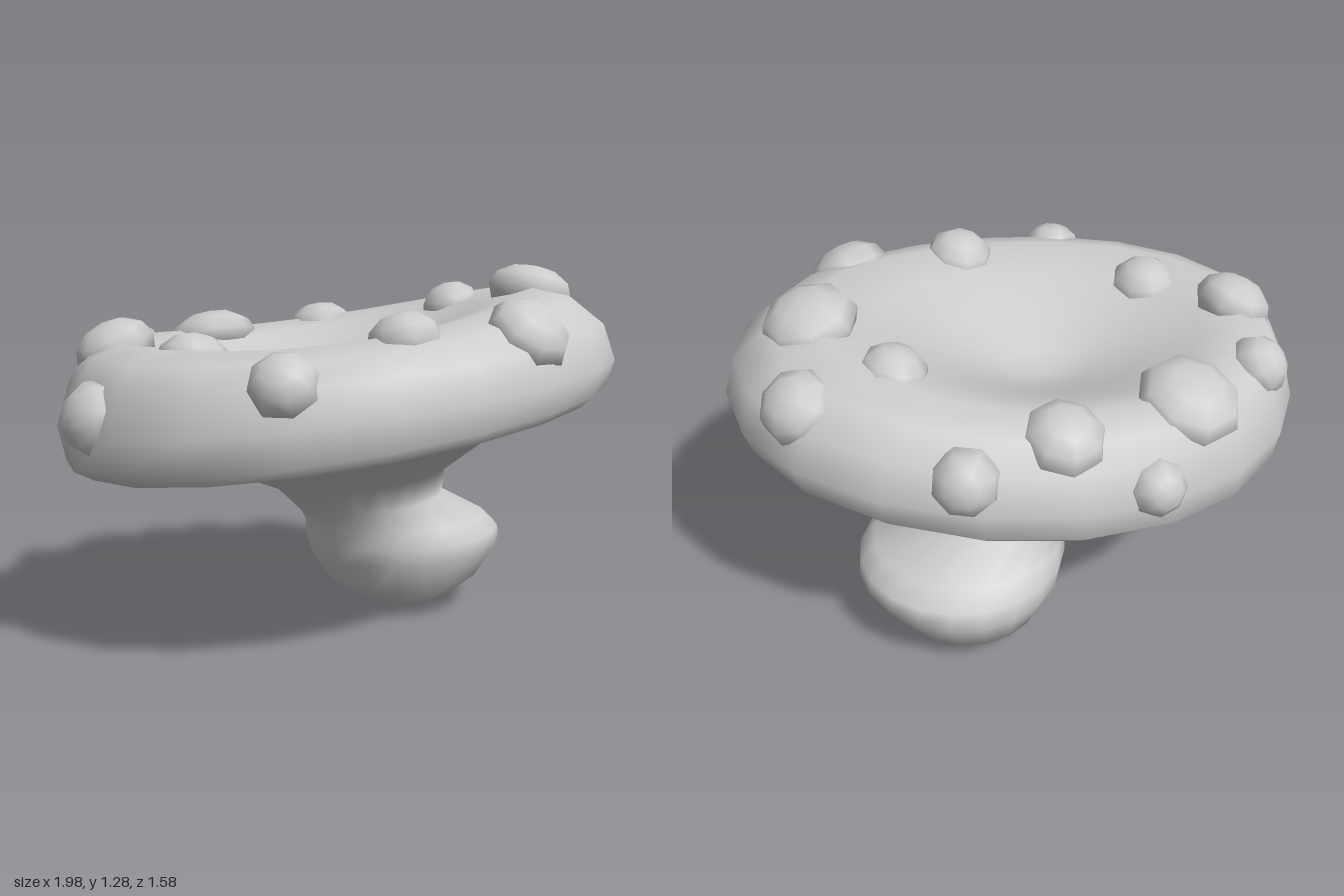
import * as THREE from 'three';
import { mergeVertices } from 'three/addons/utils/BufferGeometryUtils.js';

const SIDES = 20;

// Skin a stack of tilted egg-shaped rings:
// [cx, cy, cz, rx, rz, slope of y along x, egg amount, sag of front and back]
function loft(rings) {
  const pos = [], index = [];
  for (const [cx, cy, cz, rx, rz, slope = 0, egg = 0, sag = 0] of rings) {
    for (let j = 0; j < SIDES; j++) {
      const t = (j / SIDES) * Math.PI * 2;
      const cos = Math.cos(t), sin = Math.sin(t);
      const k = 1 - egg * Math.sin(2 * t);
      const dx = rx * k * cos;
      const dz = rz * k * (1 - 2 * egg * cos) * sin;
      pos.push(cx + dx, cy + slope * dx - sag * sin * sin, cz + dz);
    }
  }
  for (let i = 0; i < rings.length - 1; i++) {
    for (let j = 0; j < SIDES; j++) {
      const n = (j + 1) % SIDES;
      const a = i * SIDES + j, b = i * SIDES + n;
      const c = a + SIDES, d = b + SIDES;
      index.push(a, c, b, b, c, d);
    }
  }
  let geo = new THREE.BufferGeometry();
  geo.setAttribute('position', new THREE.Float32BufferAttribute(pos, 3));
  geo.setIndex(index);
  geo = mergeVertices(geo, 1e-5);
  geo.computeVertexNormals();
  return geo;
}

export function createModel() {
  const group = new THREE.Group();
  const material = new THREE.MeshStandardMaterial({ color: 0xcccccc, roughness: 0.8 });
  const add = (name, geo) => {
    const mesh = new THREE.Mesh(geo, material);
    mesh.name = name;
    group.add(mesh);
    return mesh;
  };

  // Bulbous leaning stem, pinched neck and flared underside
  const rim = [0.02, 0.715, 0, 0.91, 0.73, 0.135, 0.025];
  add('stemAndUnderside', loft([
    [0.28, 0, -0.2, 0, 0],
    [0.28, 0.008, -0.2, 0.09, 0.11, 0.02],
    [0.28, 0.04, -0.2, 0.19, 0.23, 0.03],
    [0.285, 0.11, -0.21, 0.29, 0.325, 0.05],
    [0.295, 0.22, -0.21, 0.365, 0.36, 0.06],
    [0.28, 0.28, -0.2, 0.37, 0.35, 0.03],
    [0.25, 0.335, -0.18, 0.345, 0.31, 0.02],
    [0.145, 0.41, -0.13, 0.265, 0.245, 0.13],
    [0.095, 0.51, -0.09, 0.315, 0.255, 0.1],
    [0.06, 0.685, 0, 0.56, 0.56, 0.13, 0.015],
    rim,
  ]));

  // Tilted cap: rounded rim, sagging crest and funnel-shaped middle
  const cap = add('cap', loft([
    rim,
    [0.01, 0.75, 0, 0.965, 0.765, 0.13, 0.025],
    [0.01, 0.85, 0, 0.99, 0.775, 0.11, 0.025],
    [0.01, 0.99, 0, 0.945, 0.735, 0.1, 0.025, 0.025],
    [-0.02, 1.08, 0, 0.86, 0.66, 0.11, 0.025, 0.05],
    [-0.04, 1.12, 0, 0.74, 0.55, 0.12, 0.025, 0.06],
    [-0.05, 1.07, -0.03, 0.56, 0.41, 0.13, 0.02, 0.04],
    [-0.06, 0.98, -0.05, 0.34, 0.25, 0.12, 0, 0.02],
    [-0.07, 0.9, -0.06, 0.14, 0.11, 0.1],
    [-0.07, 0.875, -0.06, 0, 0],
  ]));

  // Warts: x, approximate height, z, radius
  const warts = [
    [-0.41, 1.02, -0.5, 0.175], [0.04, 1.04, -0.61, 0.135],
    [-0.23, 0.88, -0.75, 0.1], [0.36, 0.97, -0.67, 0.11],
    [-0.75, 1.0, -0.36, 0.11], [-0.79, 1.03, 0.01, 0.14],
    [-0.53, 1.0, 0.25, 0.125], [-0.91, 0.84, 0.36, 0.125],
    [-0.31, 0.96, 0.69, 0.115], [0.1, 1.07, 0.5, 0.125],
    [0.52, 1.08, 0.5, 0.145], [0.71, 1.2, -0.01, 0.16],
    [0.79, 1.09, -0.32, 0.125], [0.48, 1.1, -0.27, 0.115],
  ];
  const up = new THREE.Vector3(0, 1, 0);
  const wartGeo = new THREE.SphereGeometry(1, 8, 6);
  const ray = new THREE.Raycaster();
  warts.forEach(([x, y, z, r], i) => {
    // Lean outward more the closer the wart sits to the rim
    const edge = Math.hypot(x / 0.99, z / 0.775);
    const lean = THREE.MathUtils.clamp((edge - 0.68) / 0.32, 0, 1) * 1.15;
    const out = new THREE.Vector3(x, 0, z / 0.6).normalize();
    const normal = out.multiplyScalar(Math.sin(lean)).addScaledVector(up, Math.cos(lean));
    // Seat the wart on the cap
    const start = new THREE.Vector3(x, y, z).addScaledVector(normal, 0.5);
    ray.set(start, normal.clone().negate());
    const hit = ray.intersectObject(cap)[0];
    const wart = add('wart' + (i + 1), wartGeo);
    wart.scale.set(r, 0.1, r);
    wart.quaternion.setFromUnitVectors(up, hit.face.normal);
    wart.position.copy(hit.point).addScaledVector(hit.face.normal, -0.03);
  });

  return group;
}
